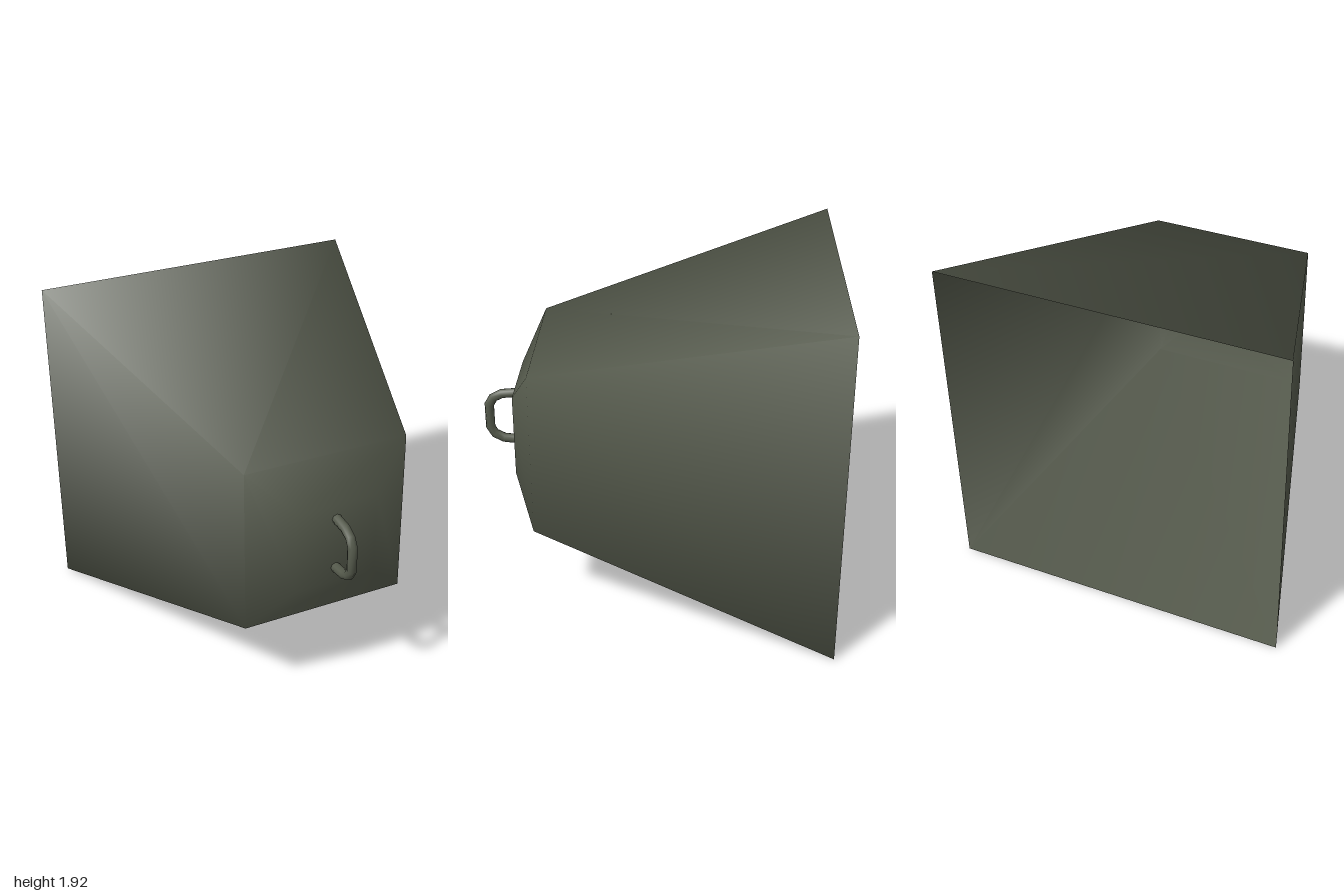
import * as THREE from 'three';

const CENTRE_Y = 0.96;

// Square rings from the open mouth to the front plate: [half width, z]
const RINGS = [[0.96, -1], [0.48, 0.68], [0.24, 0.8]];
const CORNERS = [[-1, -1], [1, -1], [1, 1], [-1, 1]];

// Hollow four-sided bell, open at the back
function bellGeometry() {
  const positions = [];
  const normals = [];
  const index = [];
  for (const [half, z] of RINGS) {
    for (const [x, y] of CORNERS) {
      positions.push(x * half, CENTRE_Y + y * half, z);
      // one soft dome-like shading across all faces
      normals.push(...new THREE.Vector3(x * half, y * half, 1).normalize().toArray());
    }
  }
  const quad = (a, b, c, d) => index.push(a, b, c, a, c, d);
  // sloping sides and front bevel
  for (let r = 0; r < RINGS.length - 1; r++) {
    for (let i = 0; i < 4; i++) {
      const j = (i + 1) % 4;
      quad(r * 4 + i, r * 4 + j, r * 4 + 4 + j, r * 4 + 4 + i);
    }
  }
  quad(8, 9, 10, 11); // front plate
  const geometry = new THREE.BufferGeometry();
  geometry.setAttribute('position', new THREE.Float32BufferAttribute(positions, 3));
  geometry.setAttribute('normal', new THREE.Float32BufferAttribute(normals, 3));
  geometry.setIndex(index);
  return geometry;
}

function handleGeometry() {
  // upper half of the D-shaped loop: [z, height above centre]
  const half = [[0.79, 0.153], [0.895, 0.143], [0.947, 0.116], [0.972, 0.072]];
  const mirrored = half.map(([z, y]) => [z, -y]).reverse();
  const points = [...half, ...mirrored].map(([z, y]) => new THREE.Vector3(0, CENTRE_Y + 0.004 + y, z));
  const curve = new THREE.CatmullRomCurve3(points, false, 'centripetal');
  // one straight tube segment between each pair of points
  curve.getPointAt = curve.getPoint;
  curve.getTangentAt = curve.getTangent;
  return new THREE.TubeGeometry(curve, points.length - 1, 0.028, 8, false);
}

export function createModel() {
  const olive = new THREE.MeshStandardMaterial({ color: 0x555a4c, side: THREE.DoubleSide });
  olive.name = 'dark olive grey';

  const group = new THREE.Group();
  group.name = 'bell';

  const body = new THREE.Mesh(bellGeometry(), olive);
  body.name = 'bellBody';

  const handle = new THREE.Mesh(handleGeometry(), olive);
  handle.name = 'handle';

  group.add(body, handle);
  return group;
}
